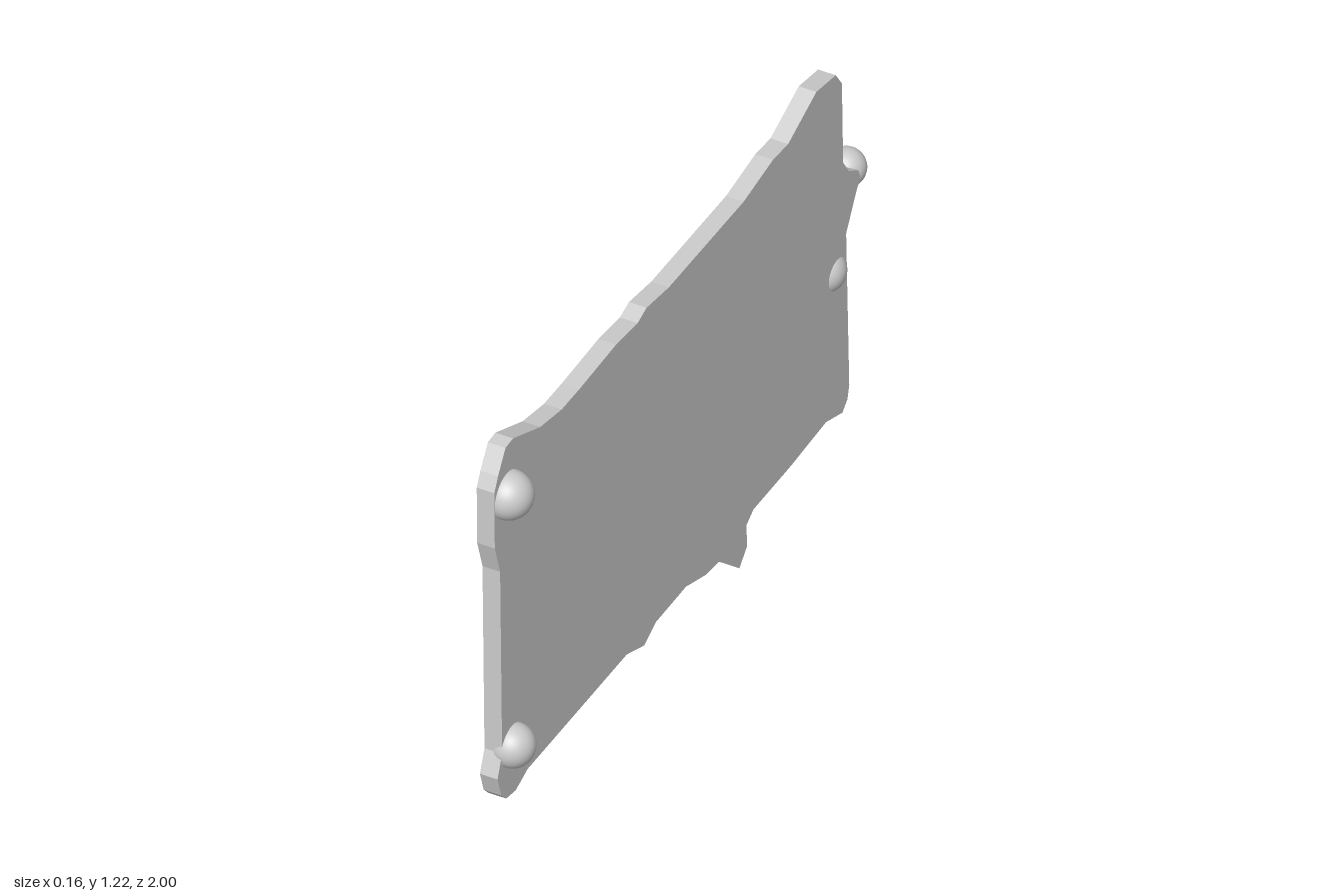
import * as THREE from 'three';

const THICKNESS = 0.05;

// Ragged outline of the sheet as [z, y] pairs
const OUTLINE = [
  [0.94, 1.217], [0.9, 1.22], [0.757, 1.158], [0.644, 1.136], [0.55, 1.136], [0.356, 1.144],
  [0.243, 1.134], [0.195, 1.15], [0.078, 1.134], [-0.318, 1.134], [-0.473, 1.16], [-0.553, 1.155],
  [-0.703, 1.217], [-0.805, 1.2], [-0.837, 1.152], [-0.84, 0.9], [-0.869, 0.853], [-0.92, 0.82],
  [-0.93, 0.79], [-0.91, 0.765], [-0.853, 0.666], [-0.863, 0.18], [-0.853, 0.142], [-0.826, 0.118],
  [-0.74, 0.147], [-0.553, 0.136], [-0.356, 0.134], [-0.32, 0.11], [-0.32, 0.04], [-0.28, 0],
  [-0.174, 0.094], [-0.104, 0.1], [0, 0.134], [0.158, 0.131], [0.222, 0.1], [0.313, 0.134],
  [0.837, 0.131], [0.9, 0.107], [0.95, 0.115], [0.976, 0.142], [0.995, 0.206], [0.97, 0.27],
  [0.973, 0.848], [1, 0.94], [1, 1.115], [0.98, 1.155],
];

// Pins: x, y, z, radius
const PINS = [
  ['upperFrontPin', 0.013, 1.067, 0.933, 0.066],
  ['lowerFrontPin', 0.016, 0.263, 0.917, 0.06],
  ['cornerTipPin', -0.029, 0.795, -0.947, 0.053],
  ['rearPin', -0.018, 0.57, -0.805, 0.06],
];

export function createModel() {
  const model = new THREE.Group();
  const grey = new THREE.MeshStandardMaterial({ color: 0xcccccc });
  grey.name = 'light grey';

  // Sheet: extruded sideways, then leaned very slightly
  const shape = new THREE.Shape(OUTLINE.map(([z, y]) => new THREE.Vector2(z, y)));
  const geometry = new THREE.ExtrudeGeometry(shape, { depth: THICKNESS, bevelEnabled: false });
  geometry.rotateY(-Math.PI / 2).translate(THICKNESS / 2, 0, 0);
  const p = geometry.attributes.position;
  for (let i = 0; i < p.count; i++) {
    p.setX(i, p.getX(i) - 0.008 - 0.005 * p.getZ(i) - 0.007 * (p.getY(i) - 0.6));
  }
  geometry.computeVertexNormals();
  const sheet = new THREE.Mesh(geometry, grey);
  sheet.name = 'sheet';
  model.add(sheet);

  // Round pins holding the sheet
  for (const [name, x, y, z, radius] of PINS) {
    const pin = new THREE.Mesh(new THREE.SphereGeometry(radius, 32, 20), grey);
    pin.name = name;
    pin.position.set(x, y, z);
    model.add(pin);
  }
  return model;
}
